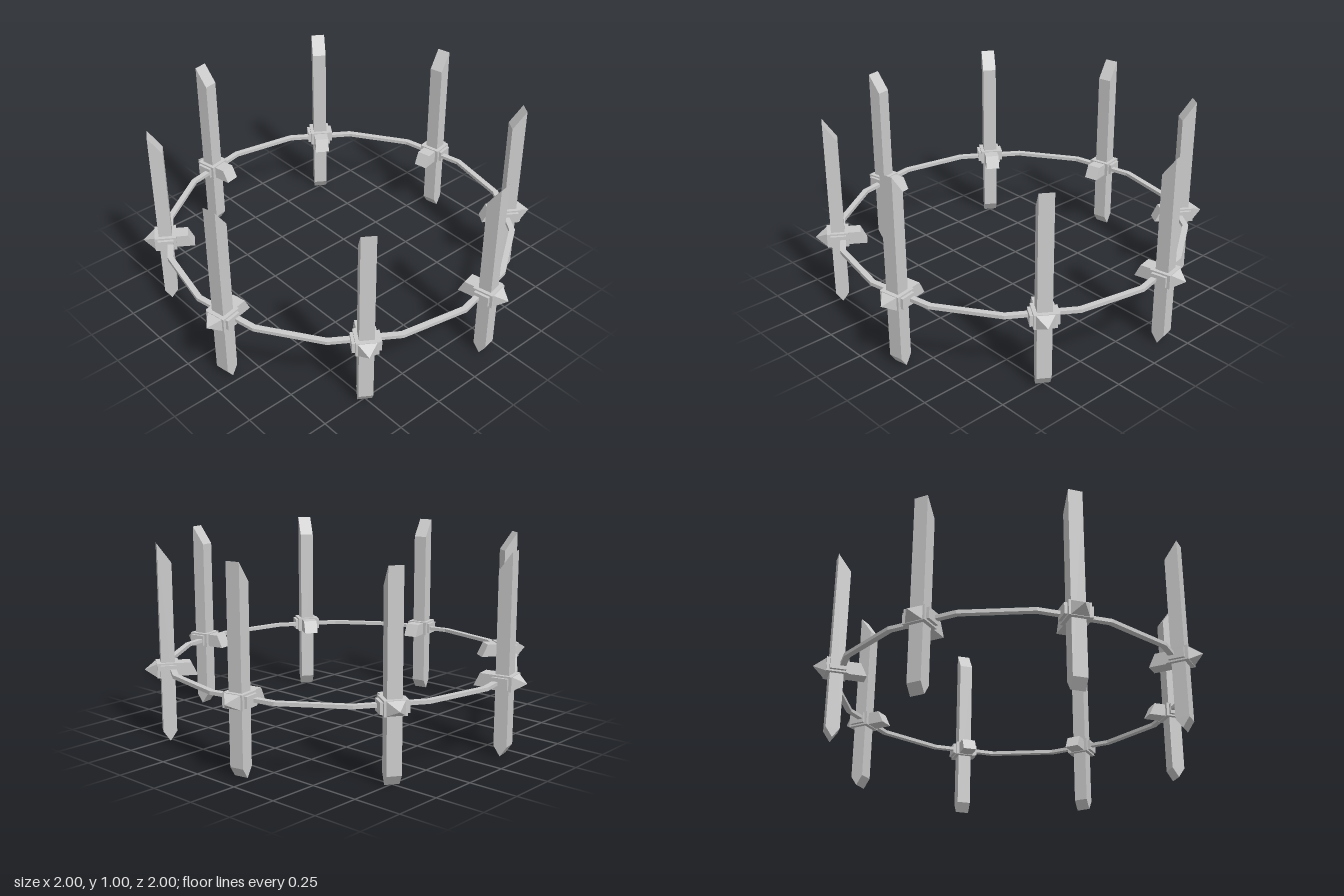
import * as THREE from 'three';

const material = new THREE.MeshStandardMaterial({ color: 0xcccccc, flatShading: true });
const POST_COUNT = 8;
const POST_RADIUS = 0.905; // distance of each post from the centre
const RING_Y = 0.37;

function addMesh(parent, name, geometry, x = 0, y = 0, z = 0) {
  const mesh = new THREE.Mesh(geometry, material);
  mesh.name = name;
  mesh.position.set(x, y, z);
  parent.add(mesh);
  return mesh;
}

// Extrudes a (radial, height) outline sideways, centred on the radial axis (+z).
function radialExtrude(points, width) {
  const shape = new THREE.Shape(points.map(([r, y]) => new THREE.Vector2(r, y)));
  const geometry = new THREE.ExtrudeGeometry(shape, { depth: width, bevelEnabled: false });
  geometry.translate(0, 0, -width / 2);
  geometry.rotateY(-Math.PI / 2);
  return geometry;
}

// Four-sided spike pointing along +z with a rectangular base.
function spikeGeometry(width, height, length) {
  const geometry = new THREE.ConeGeometry(Math.SQRT1_2, 1, 4);
  geometry.rotateY(Math.PI / 4);
  geometry.rotateX(Math.PI / 2);
  geometry.scale(width, height, length);
  return geometry;
}

export function createModel() {
  const model = new THREE.Group();
  model.name = 'postRing';

  // Thin sixteen-sided hoop with a rectangular section
  const section = [[0.884, -0.009], [0.914, -0.009], [0.914, 0.009], [0.884, 0.009], [0.884, -0.009]];
  const hoop = new THREE.LatheGeometry(section.map(([r, y]) => new THREE.Vector2(r, y)), 16);
  addMesh(model, 'hoop', hoop, 0, RING_Y, 0);

  // Post: slanted top facing inward, wedge-shaped foot
  const post = radialExtrude(
    [[0.871, 0.05], [0.905, 0], [0.939, 0.05], [0.939, 1], [0.871, 0.905]], 0.072);
  // Clasp block reaching inward with a sloped end
  const innerBlock = radialExtrude(
    [[0.758, 0.336], [0.88, 0.336], [0.88, 0.402], [0.79, 0.402]], 0.075);
  const claspCore = new THREE.BoxGeometry(0.11, 0.074, 0.11);
  const claspBand = new THREE.BoxGeometry(0.14, 0.056, 0.08);
  const spike = spikeGeometry(0.09, 0.07, 0.06);

  for (let i = 0; i < POST_COUNT; i++) {
    const unit = new THREE.Group();
    unit.name = `postUnit${i + 1}`;
    unit.rotation.y = ((i + 0.25) / POST_COUNT) * Math.PI * 2;
    addMesh(unit, 'post', post);
    addMesh(unit, 'claspInnerBlock', innerBlock);
    addMesh(unit, 'claspCore', claspCore, 0, RING_Y, POST_RADIUS);
    addMesh(unit, 'claspBand', claspBand, 0, RING_Y, POST_RADIUS);
    addMesh(unit, 'outerSpike', spike, 0, RING_Y, 0.989);
    model.add(unit);
  }
  return model;
}
